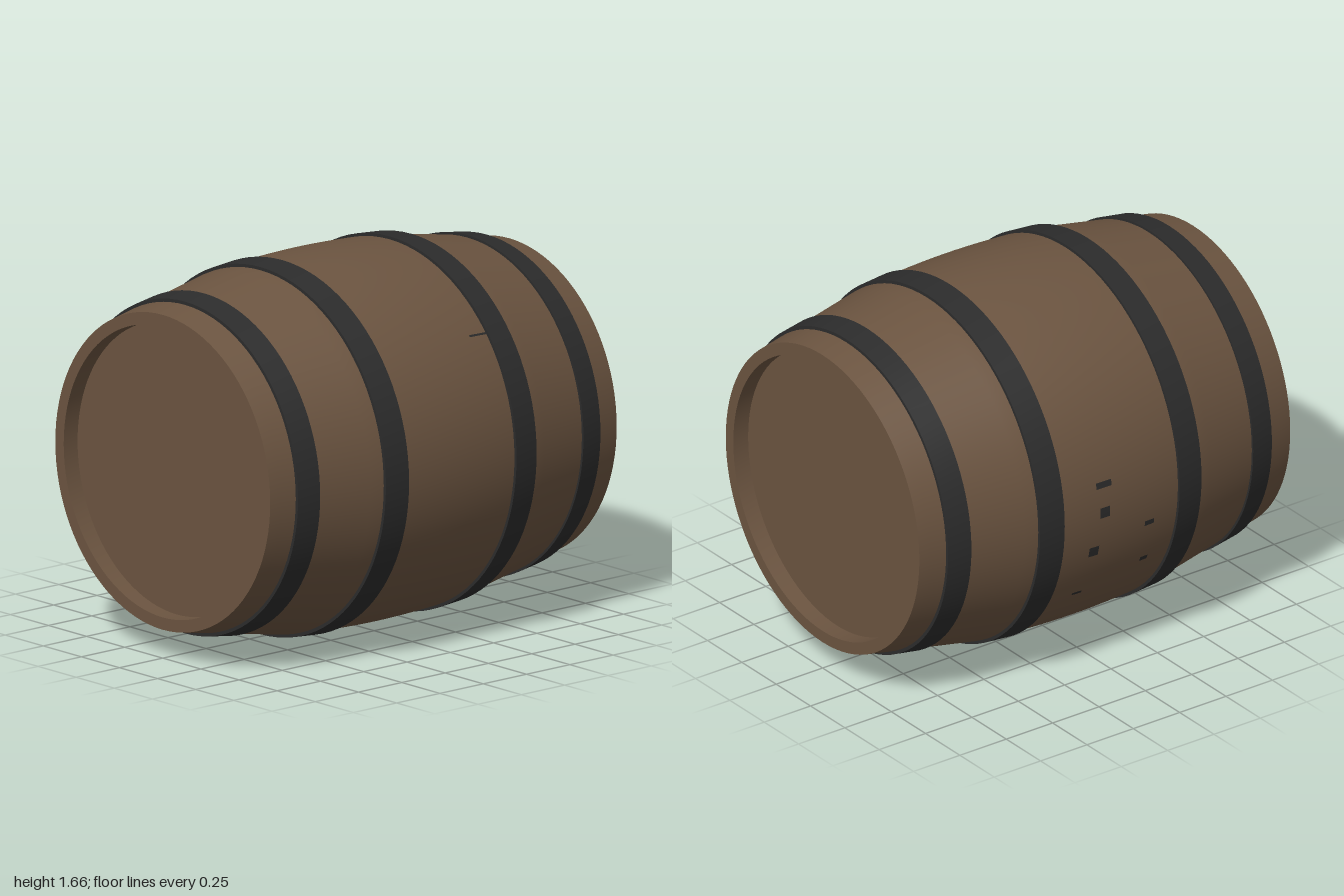
import * as THREE from 'three';
import { toCreasedNormals } from 'three/addons/utils/BufferGeometryUtils.js';

const CENTRE_Y = 0.833;
const SEGMENTS = 96;

// Barrel radius at a distance z along its axis: a bulging middle, straight tapering ends
function staveRadius(z) {
  const d = Math.abs(z);
  return d < 0.44 ? 0.829 - 0.021 * (d / 0.44) ** 2 : 0.808 - 0.184 * (d - 0.44);
}

// Revolve [radius, z] pairs around the z axis
function revolve(name, profile, material, start = 0, sweep = Math.PI * 2, segments = SEGMENTS) {
  const points = profile.map(([r, z]) => new THREE.Vector2(r, z));
  const geometry = new THREE.LatheGeometry(points, segments, start, sweep).rotateX(Math.PI / 2);
  const mesh = new THREE.Mesh(toCreasedNormals(geometry, 0.4), material);
  mesh.name = name;
  return mesh;
}

export function createModel() {
  const wood = new THREE.MeshStandardMaterial({ name: 'brown wood', color: 0x6b5440 });
  const iron = new THREE.MeshStandardMaterial({ name: 'dark iron', color: 0x2c2c2c });

  const barrel = new THREE.Group();
  barrel.name = 'barrel';
  barrel.position.y = CENTRE_Y;

  // Staves: the curved outer shell
  const shell = [];
  for (let i = 0; i <= 40; i++) {
    const z = -1 + i * 0.05;
    shell.push([staveRadius(z), z]);
  }
  barrel.add(revolve('staves', shell, wood));

  // Rims and recessed heads at both ends
  const frontEnd = [[0.705, 1], [0.65, 1], [0.65, 0.92], [0, 0.92]];
  const backEnd = frontEnd.map(([r, z]) => [r, -z]).reverse();
  barrel.add(revolve('frontHead', frontEnd, wood));
  barrel.add(revolve('backHead', backEnd, wood));

  // Iron hoops, mirrored front to back: inner z, outer z, radius at each
  const hoops = [
    ['middleHoop', 0.31, 0.435, 0.832, 0.822],
    ['endHoop', 0.76, 0.873, 0.76, 0.743],
  ];
  for (const [name, z0, z1, r0, r1] of hoops) {
    const section = [[r0 - 0.04, z0], [r0, z0], [r1, z1], [r1 - 0.04, z1]];
    barrel.add(revolve(name + 'Front', section, iron));
    barrel.add(revolve(name + 'Back', section.map(([r, z]) => [r, -z]).reverse(), iron));
  }

  // Thin dark scuffs on the staves: lathe angle, z, angular size, length
  const rightSide = Math.PI * 1.5;
  const leftSide = Math.PI / 2;
  const scuffs = [
    [leftSide + 0.69, -0.26, 0.012, 0.1],
    [rightSide - 0.16, -0.09, 0.035, 0.08],
    [rightSide, -0.09, 0.06, 0.05],
    [rightSide + 0.23, -0.135, 0.06, 0.05],
    [rightSide + 0.16, 0.157, 0.03, 0.05],
    [rightSide + 0.42, 0.17, 0.03, 0.04],
    [rightSide + 0.54, -0.156, 0.02, 0.05],
  ];
  for (const [angle, z, sweep, length] of scuffs) {
    const strip = [-0.5, 0, 0.5].map((t) => [staveRadius(z + t * length) + 0.002, z + t * length]);
    barrel.add(revolve('scuff', strip, iron, angle - sweep / 2, sweep, 4));
  }

  const model = new THREE.Group();
  model.name = 'woodenBarrel';
  model.add(barrel);
  return model;
}
